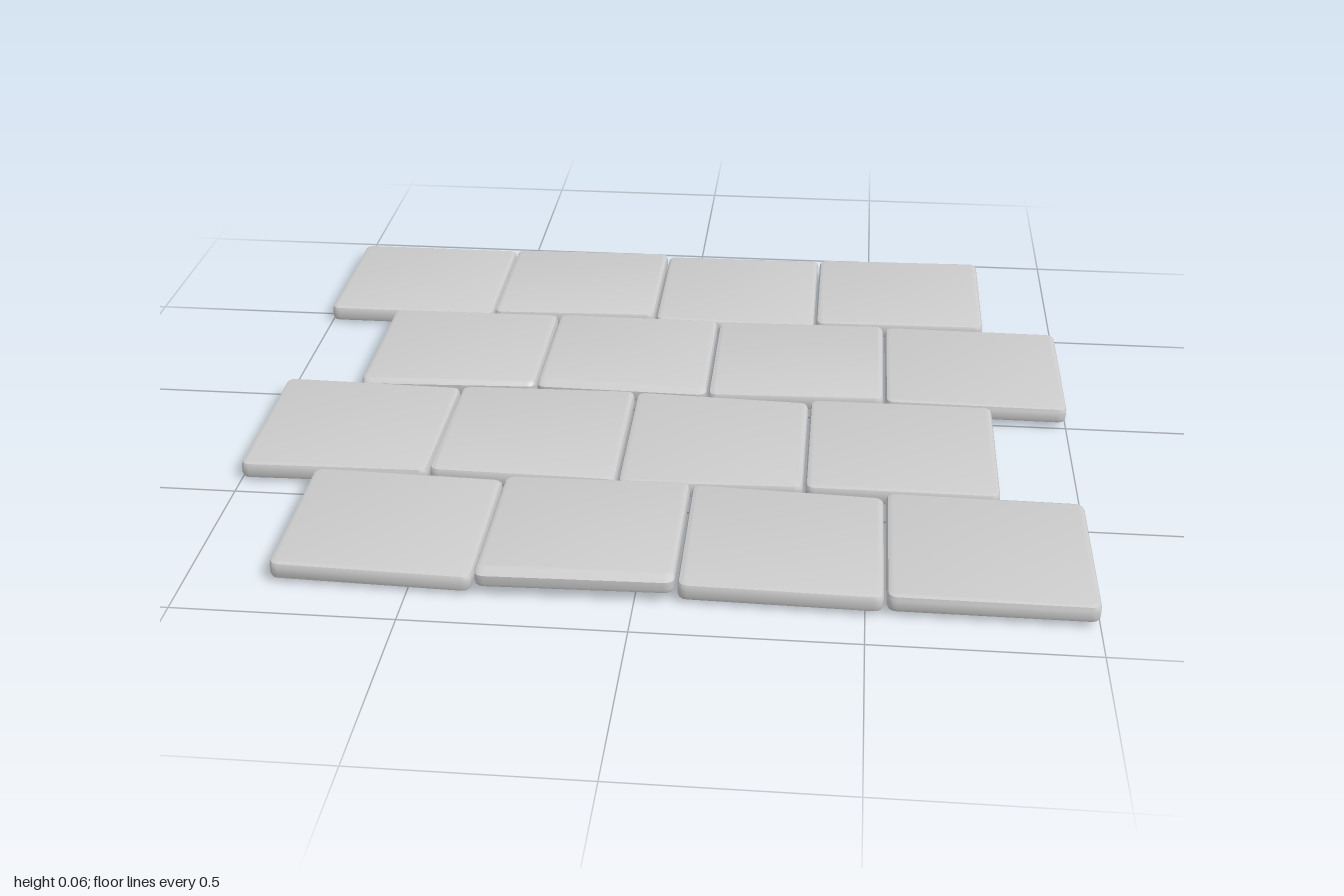
import * as THREE from 'three';
import { toCreasedNormals } from 'three/addons/utils/BufferGeometryUtils.js';

const THICK = 0.042, BEVEL = 0.011, ROUND = 0.012, DEPTH = 0.447, PITCH = 0.4485;

// Joint positions along x for the first row; every other row is mirrored
const JOINTS = [-1, -0.542, -0.09, 0.353, 0.81];

// Per slab: skew in plan, mean lift, rise from back to front, twist
const ROWS = [
  [[0, 0.003, -0.003, 0], [-0.015, 0.011, 0, 0.001], [0.006, 0.006, -0.009, -0.003], [-0.013, 0.015, -0.003, 0]],
  [[-0.014, 0.012, 0.002, 0.002], [0.005, 0.016, 0.008, -0.001], [-0.014, 0.014, 0, 0.001], [0.005, 0.011, 0, 0]],
  [[0, 0.007, 0, 0.003], [0, 0.012, 0, -0.003], [0, 0.008, 0, 0.005], [0, 0.012, 0, 0]],
  [[0.014, 0.009, -0.004, 0], [-0.01, 0.018, 0.008, 0], [0.014, 0.009, -0.003, 0.002], [0.005, 0.011, -0.002, 0.001]],
];

// Quad outline with small rounded corners
function roundedQuad(points) {
  const shape = new THREE.Shape();
  points.forEach((p, i) => {
    const a = points[(i + 3) % 4].clone().sub(p).setLength(ROUND).add(p);
    const b = points[(i + 1) % 4].clone().sub(p).setLength(ROUND).add(p);
    if (i === 0) shape.moveTo(a.x, a.y); else shape.lineTo(a.x, a.y);
    shape.quadraticCurveTo(p.x, p.y, b.x, b.y);
  });
  shape.closePath();
  return shape;
}

// Bevelled slab centred on x = 0 and z = 0, slightly skewed and warped
function slabGeometry(width, [skew, lift, rise, twist]) {
  const w = width / 2 - BEVEL, d = (DEPTH - Math.abs(skew)) / 2 - BEVEL;
  const corner = (sx, sz) => new THREE.Vector2(sx * w, -sz * d - sx * skew / 2);
  const shape = roundedQuad([corner(-1, 1), corner(1, 1), corner(1, -1), corner(-1, -1)]);
  const geo = new THREE.ExtrudeGeometry(shape, {
    depth: THICK - 2 * BEVEL, bevelThickness: BEVEL, bevelSize: BEVEL,
    bevelSegments: 2, curveSegments: 3,
  });
  geo.rotateX(-Math.PI / 2).translate(0, BEVEL, 0);

  // Tilt and twist the slab; the raised edge leans back at the top
  const pos = geo.attributes.position;
  for (let k = 0; k < pos.count; k++) {
    const x = pos.getX(k), y = pos.getY(k), z = pos.getZ(k);
    const u = 2 * x / width, v = 2 * z / DEPTH;
    pos.setY(k, y + lift + rise * v / 2 + twist * u * v);
    if (v * rise > 0 && y > THICK * 0.8) pos.setZ(k, z - 2 * rise);
  }
  return toCreasedNormals(geo, 0.6);
}

export function createModel() {
  const group = new THREE.Group();
  group.name = 'paving';
  const stone = new THREE.MeshStandardMaterial({ color: 0xcccccc });
  const mirrored = JOINTS.map((x) => -x).reverse();

  // Four staggered rows of four slabs
  ROWS.forEach((row, r) => {
    const joints = r % 2 ? mirrored : JOINTS;
    const rowGroup = new THREE.Group();
    rowGroup.name = `slabRow${r + 1}`;
    rowGroup.position.z = (r - 1.5) * PITCH;
    row.forEach((slab, c) => {
      // Joints are open between slabs but not at the ends of a row
      const x0 = joints[c] + (c > 0 ? 0.003 : 0);
      const x1 = joints[c + 1] - (c < 3 ? 0.003 : 0);
      const mesh = new THREE.Mesh(slabGeometry(x1 - x0, slab), stone);
      mesh.name = `slab${r + 1}_${c + 1}`;
      mesh.position.x = (x0 + x1) / 2;
      rowGroup.add(mesh);
    });
    group.add(rowGroup);
  });
  return group;
}
